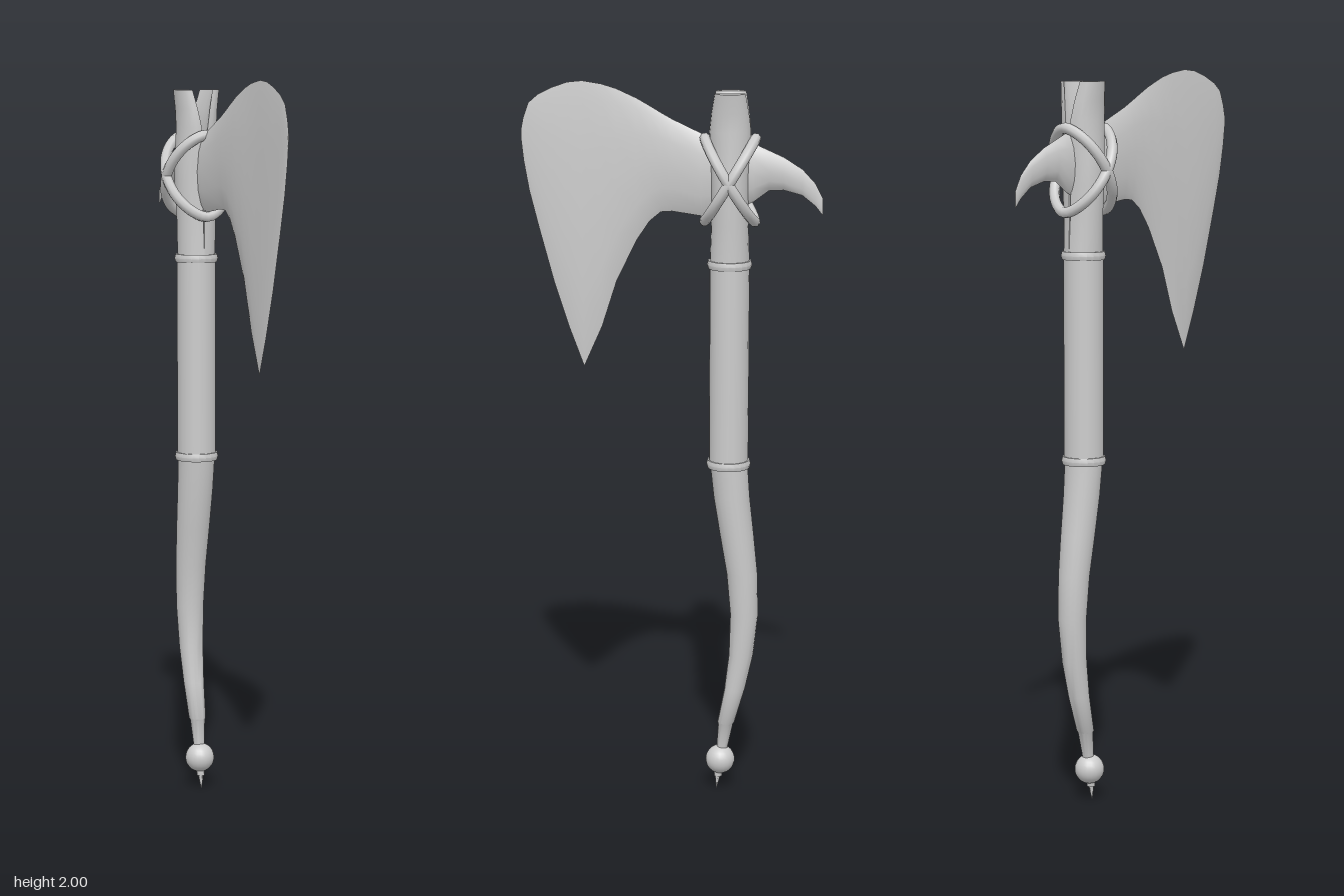
import * as THREE from 'three';
import { toCreasedNormals } from 'three/addons/utils/BufferGeometryUtils.js';

const AXIS_Z = -0.156; // shaft axis

// Skin a list of rings (equal point counts, counter-clockwise about the travel direction) and cap both ends.
function loft(rings) {
  const n = rings[0].length, index = [];
  for (let i = 0; i < rings.length - 1; i++) {
    for (let j = 0; j < n; j++) {
      const a = i * n + j, b = i * n + (j + 1) % n;
      index.push(a, b, b + n, a, b + n, a + n);
    }
  }
  const last = (rings.length - 1) * n;
  for (let j = 1; j < n - 1; j++) index.push(0, j + 1, j, last, last + j, last + j + 1);
  const g = new THREE.BufferGeometry();
  g.setAttribute('position', new THREE.Float32BufferAttribute(rings.flat(2), 3));
  g.setIndex(index);
  return toCreasedNormals(g, 0.7);
}

export function createModel() {
  const group = new THREE.Group();
  const material = new THREE.MeshStandardMaterial({ color: 0xcccccc, side: THREE.DoubleSide });
  const add = (name, geometry, x = 0, y = 0, z = 0) => {
    const mesh = new THREE.Mesh(geometry, material);
    mesh.name = name;
    mesh.position.set(x, y, z);
    group.add(mesh);
    return mesh;
  };
  const circle = (y, z, r, n = 20) => Array.from({ length: n }, (_, j) => {
    const a = j / n * Math.PI * 2;
    return [r * Math.sin(a), y, z + r * Math.cos(a)];
  });

  // Curved, tapering lower handle: y, z, radius
  const handle = [
    [0.12, -0.142, 0.015], [0.195, -0.152, 0.021], [0.2, -0.153, 0.024], [0.3, -0.177, 0.029],
    [0.4, -0.194, 0.034], [0.52, -0.202, 0.039], [0.64, -0.195, 0.043], [0.75, -0.18, 0.047],
    [0.86, -0.165, 0.05], [0.96, AXIS_Z, 0.052],
  ];
  add('lowerHandle', loft(handle.map(([y, z, r]) => circle(y, z, r))));

  // Straight grip with a collar at each end
  add('grip', new THREE.CylinderGeometry(0.054, 0.054, 0.57, 20), 0, 1.235, AXIS_Z);
  for (const y of [0.955, 1.51]) {
    const collar = [[0.05, -0.011], [0.058, -0.011], [0.061, 0], [0.058, 0.011], [0.05, 0.011]];
    add('collar', toCreasedNormals(new THREE.LatheGeometry(
      collar.map(([r, h]) => new THREE.Vector2(r, h)), 20), 0.6), 0, y, AXIS_Z);
  }

  // Pommel ball and pin
  add('pommel', new THREE.SphereGeometry(0.041, 20, 14), 0, 0.088, -0.137);
  const pin = [[0, -0.127, 0.001], [0.035, -0.13, 0.007], [0.037, -0.131, 0.011], [0.06, -0.133, 0.012]];
  add('pommelPin', loft(pin.map(([y, z, r]) => circle(y, z, r, 12))));

  // Split shaft top: two prongs that clasp the head. y, outer x, half depth, inner x
  const prong = [
    [1.51, 0.052, 0.054, 0], [1.62, 0.055, 0.05, 0.002], [1.7, 0.061, 0.05, 0.004],
    [1.78, 0.061, 0.052, 0.006], [1.87, 0.055, 0.056, 0.009], [1.92, 0.058, 0.05, 0.018],
    [1.972, 0.065, 0.041, 0.03],
  ];
  const prongGeometry = loft(prong.map(([y, rx, rz, gap]) => {
    const ring = [];
    for (let j = 0; j <= 10; j++) {
      const a = j / 10 * Math.PI;
      ring.push([gap + (rx - gap) * Math.sin(a), y, rz * Math.cos(a)]);
    }
    for (let j = 1; j < 6; j++) { // hollowed inner face
      const a = j / 6 * Math.PI;
      ring.push([gap * (1 + 0.4 * Math.sin(a)), y, -rz * Math.cos(a)]);
    }
    return ring;
  }));
  for (const turn of [0, Math.PI]) add('shaftProng', prongGeometry, 0, 0, AXIS_Z).rotation.y = turn;

  // Head, blade and back spike in one, swept along z: z, top, bottom, half thickness
  const head = [
    [-0.405, 1.69, 1.645, 0.001], [-0.385, 1.73, 1.67, 0.004], [-0.35, 1.768, 1.698, 0.008],
    [-0.3, 1.8, 1.712, 0.013], [-0.26, 1.818, 1.71, 0.017], [-0.22, 1.836, 1.68, 0.02],
    [-0.155, 1.85, 1.65, 0.022], [-0.08, 1.862, 1.64, 0.019], [0, 1.9, 1.652, 0.016],
    [0.03, 1.917, 1.65, 0.016], [0.06, 1.935, 1.625, 0.015], [0.095, 1.955, 1.573, 0.015],
    [0.15, 1.98, 1.46, 0.014], [0.19, 1.992, 1.335, 0.013], [0.24, 2, 1.222, 0.012],
    [0.28, 1.996, 1.33, 0.011], [0.32, 1.982, 1.455, 0.009], [0.36, 1.962, 1.605, 0.006],
    [0.385, 1.94, 1.705, 0.004], [0.399, 1.9, 1.785, 0.002], [0.405, 1.87, 1.84, 0.001],
  ];
  add('bladeAndSpike', loft(head.map(([z, top, bottom, t]) => Array.from({ length: 12 }, (_, j) => {
    const a = j / 12 * Math.PI * 2, c = Math.cos(a);
    return [t * Math.sign(c) * Math.abs(c) ** 1.4, (top + bottom) / 2 + (top - bottom) / 2 * Math.sin(a), z];
  }))));

  // Two tilted cord loops crossing at the sides
  for (const tilt of [1, -1]) {
    const points = Array.from({ length: 16 }, (_, j) => {
      const a = j / 16 * Math.PI * 2, c = Math.cos(a), s = Math.sin(a);
      return new THREE.Vector3(0.09 * Math.sign(c) * Math.abs(c) ** 1.25, 1.738 + tilt * 0.112 * s, AXIS_Z + 0.068 * s);
    });
    const path = new THREE.CatmullRomCurve3(points, true);
    add('cordLoop', new THREE.TubeGeometry(path, 48, 0.0145, 8, true));
  }
  return group;
}
